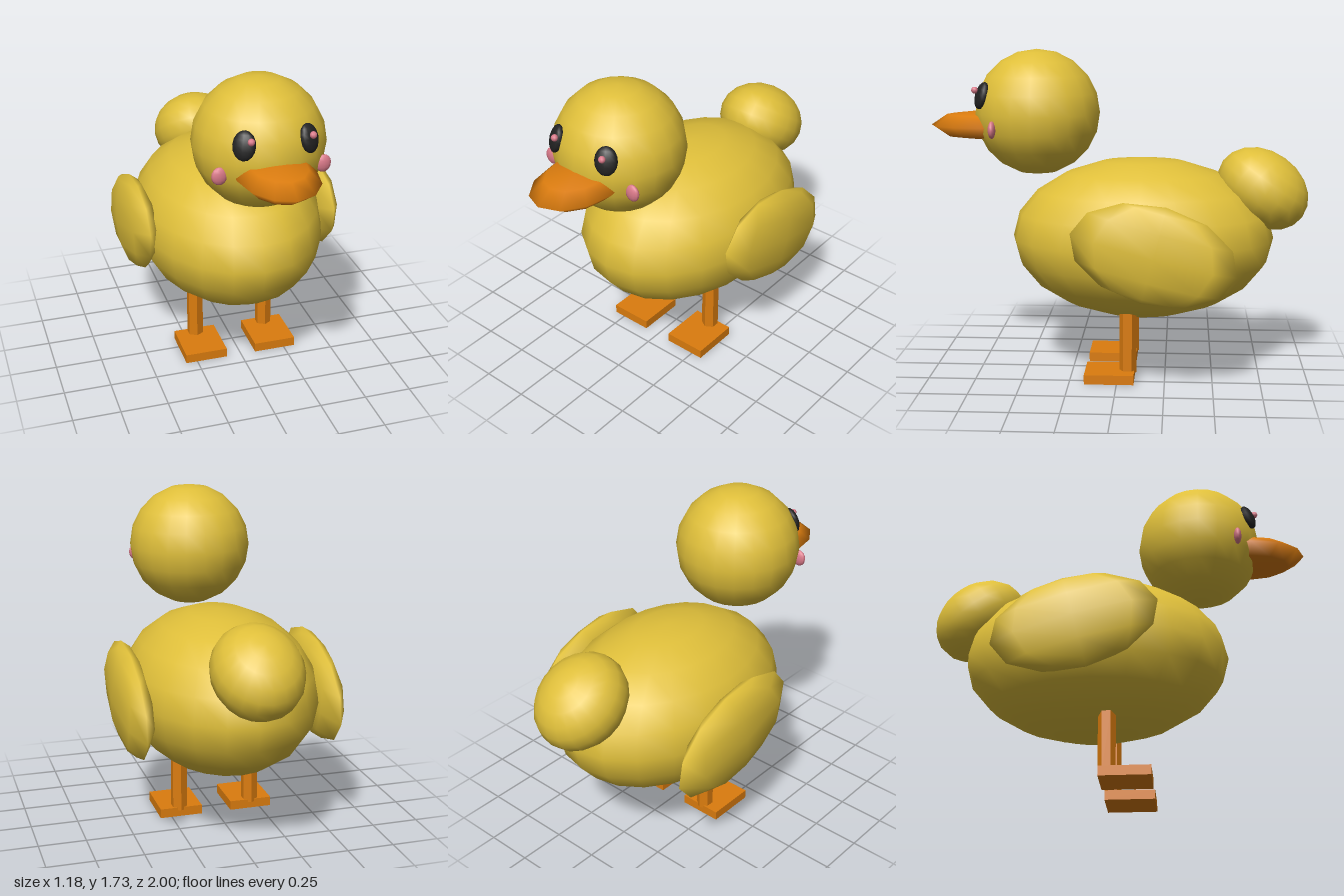
import * as THREE from 'three';

const material = (name, color) => {
  const m = new THREE.MeshStandardMaterial({ color });
  m.name = name;
  return m;
};

export function createModel() {
  const yellow = material('yellow down', 0xdfbf3a);
  const orange = material('orange', 0xdb7c0e);
  const black = material('eye black', 0x222222);
  const pink = material('pink', 0xdb7a8a);

  const model = new THREE.Group();
  model.name = 'duckling';

  const add = (name, geometry, mat, position) => {
    const mesh = new THREE.Mesh(geometry, mat);
    mesh.name = name;
    mesh.position.set(...position);
    model.add(mesh);
    return mesh;
  };
  // Ellipsoid with given radii and segment counts
  const ellipsoid = (name, mat, position, radii, w = 20, h = 10) => {
    const mesh = add(name, new THREE.SphereGeometry(1, w, h), mat, position);
    mesh.scale.set(...radii);
    return mesh;
  };

  // Body, head and upturned tail
  ellipsoid('body', yellow, [0, 0.73, -0.125], [0.5, 0.428, 0.695]);
  const headCentre = new THREE.Vector3(0, 1.395, 0.433);
  ellipsoid('head', yellow, headCentre.toArray(), [0.33, 0.33, 0.33]);
  ellipsoid('tail', yellow, [0, 0.995, -0.76], [0.23, 0.198, 0.259]).rotation.x = -0.61;

  // Flattened beak with a sharp rim
  ellipsoid('beak', orange, [0, 1.325, 0.71], [0.197, 0.08, 0.29], 12, 4);

  for (const [side, s] of [['left', 1], ['right', -1]]) {
    // Wings, tilted down towards the tail
    ellipsoid(side + 'Wing', yellow, [s * 0.5, 0.733, -0.195], [0.092, 0.252, 0.429], 8, 6)
      .rotation.x = -0.255;

    // Eyes lie flat on the head
    const eye = ellipsoid(side + 'Eye', black, [s * 0.158, 1.492, 0.702], [0.056, 0.072, 0.03], 12, 8);
    eye.lookAt(eye.position.clone().multiplyScalar(2).sub(headCentre));

    // Cheeks
    ellipsoid(side + 'Cheek', pink, [s * 0.258, 1.325, 0.638], [0.04, 0.045, 0.02], 12, 8);

    // Hexagonal legs and flat feet
    add(side + 'Leg', new THREE.CylinderGeometry(0.045, 0.045, 0.33, 6).toNonIndexed(), orange,
      [s * 0.2, 0.2, -0.055]).geometry.computeVertexNormals();
    add(side + 'Foot', new THREE.BoxGeometry(0.23, 0.05, 0.26), orange, [s * 0.197, 0.025, 0.04]);
  }

  // Eye glints, both shifted to the same side
  for (const x of [-0.135, 0.165]) {
    ellipsoid('eyeGlint', pink, [x, 1.52, 0.737], [0.018, 0.018, 0.018], 8, 6);
  }
  return model;
}
